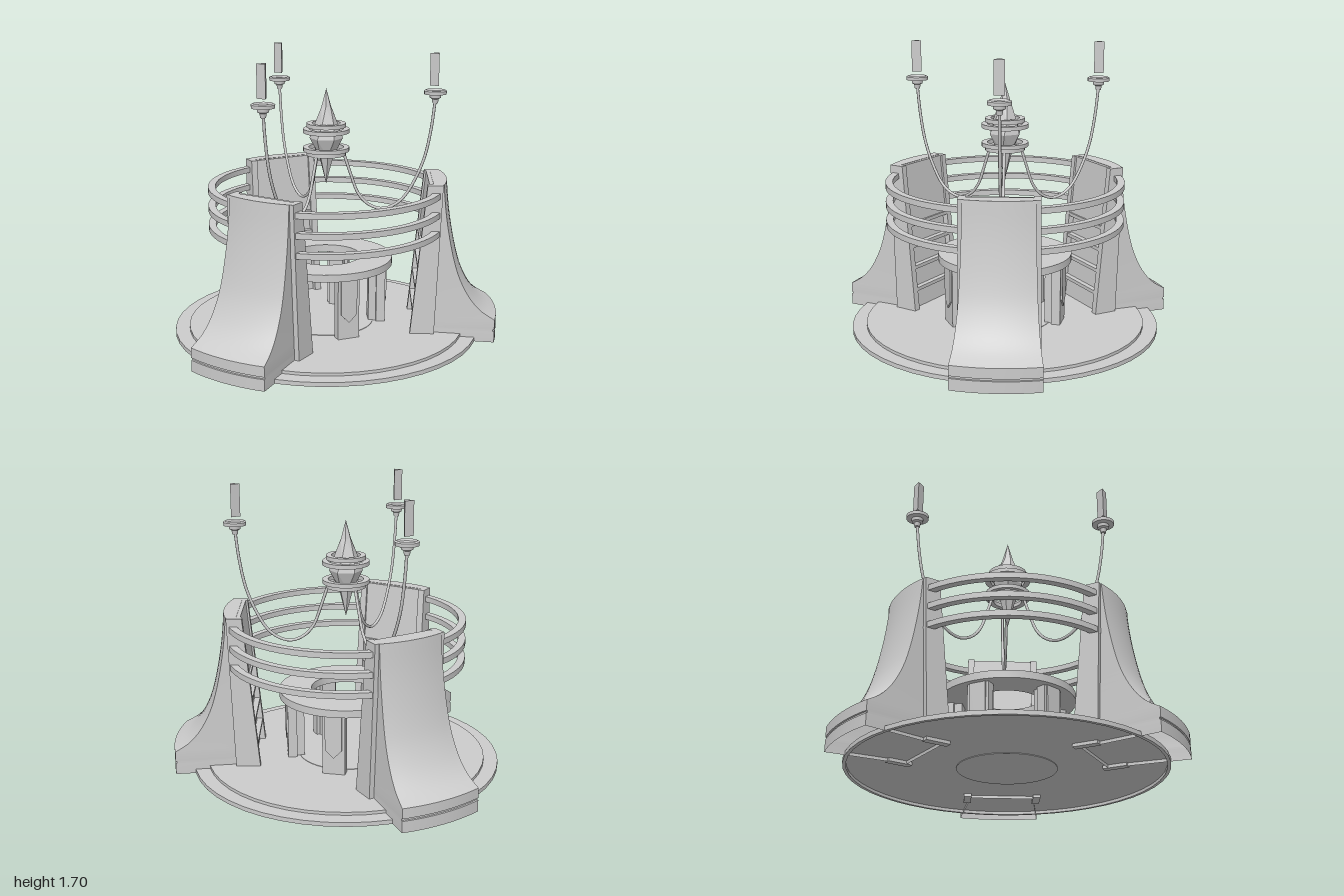
import * as THREE from 'three';
import { toCreasedNormals } from 'three/addons/utils/BufferGeometryUtils.js';

const grey = new THREE.MeshStandardMaterial({ color: 0xcccccc });
const faceted = new THREE.MeshStandardMaterial({ color: 0xcccccc, flatShading: true });
const shell = new THREE.MeshStandardMaterial({ color: 0xcccccc, side: THREE.DoubleSide });

function add(parent, name, geometry, material = grey) {
  const mesh = new THREE.Mesh(geometry, material);
  mesh.name = name;
  parent.add(mesh);
  return mesh;
}

// Solid of revolution with crisp edges
function turned(points, segments = 48) {
  const lathe = new THREE.LatheGeometry(points.map(p => new THREE.Vector2(...p)), segments);
  return toCreasedNormals(lathe, 0.5);
}

// Square-section hoop
function hoop(inner, outer, y0, y1, segments = 48) {
  return turned([[inner, y0], [outer, y0], [outer, y1], [inner, y1], [inner, y0]], segments);
}

// Skin over stacked, counter-clockwise rings of [x, y, z]; the bottom may stay open
function loft(rings, openBottom = false) {
  const n = rings[0].length, index = [];
  for (let r = 0; r < rings.length - 1; r++) {
    for (let i = 0; i < n; i++) {
      const a = r * n + i, b = r * n + (i + 1) % n;
      index.push(a, b, b + n, a, b + n, a + n);
    }
  }
  const top = (rings.length - 1) * n;
  for (let i = 1; i < n - 1; i++) {
    index.push(top, top + i, top + i + 1);
    if (!openBottom) index.push(0, i + 1, i);
  }
  const g = new THREE.BufferGeometry();
  g.setAttribute('position', new THREE.Float32BufferAttribute(rings.flat(2), 3));
  g.setIndex(index);
  return toCreasedNormals(g, 0.5);
}

const boxRing = (x0, x1, y, z0, z1) => [[x0, y, z1], [x1, y, z1], [x1, y, z0], [x0, y, z0]];

// Inner leaning face of a pillar
const innerZ = y => 0.508 + 0.097 * y;

// Horizontal section of a pillar: curved outside, flat inside, wider towards the outside
function pillarRing(y, outer) {
  const half = 0.195 + 0.055 * (outer - 0.69) / 0.355;
  const ring = [], a = Math.asin(half / outer), steps = 10;
  for (let i = 0; i <= steps; i++) {
    const t = -a + 2 * a * i / steps;
    ring.push([outer * Math.sin(t), y, outer * Math.cos(t)]);
  }
  ring.push([0.19, y, innerZ(y) + 0.035], [-0.19, y, innerZ(y) + 0.035]);
  return ring;
}

function makePillar() {
  const pillar = new THREE.Group();
  pillar.name = 'pillar';

  // Hollow shell: grooved plinth, then the flared body
  const plinth = [[1.045, 0], [1.045, 0.068], [1.037, 0.07], [1.037, 0.08], [1.045, 0.082], [1.045, 0.142]];
  const flare = new THREE.SplineCurve([[1.04, 0.144], [0.96, 0.195], [0.89, 0.275], [0.83, 0.39],
    [0.79, 0.52], [0.757, 0.68], [0.737, 0.82], [0.725, 0.955]].map(p => new THREE.Vector2(...p)));
  const profile = [...plinth, ...flare.getPoints(24).map(p => [p.x, p.y])];
  add(pillar, 'pillarBody', loft(profile.map(([r, y]) => pillarRing(y, r)), true), shell);

  // Side rails of the inner face
  for (const s of [-1, 1]) {
    const [b0, b1, t0, t1] = s > 0 ? [0.19, 0.235, 0.185, 0.225] : [-0.235, -0.19, -0.225, -0.185];
    add(pillar, 'sideRail', loft([boxRing(b0, b1, 0, innerZ(0), 0.655),
      boxRing(t0, t1, 0.955, innerZ(0.955), 0.692)]));
  }

  // Upper panel and rungs between the rails
  add(pillar, 'upperPanel', loft([0.585, 0.953].map(y =>
    boxRing(-0.2, 0.2, y, innerZ(y) + 0.012, innerZ(y) + 0.06))));
  for (const y of [0.17, 0.31, 0.445, 0.58]) {
    add(pillar, 'rung', new THREE.BoxGeometry(0.4, 0.022, 0.04))
      .position.set(0, y, innerZ(y) + 0.022);
  }
  return pillar;
}

function makeLamp() {
  const lamp = new THREE.Group();
  lamp.name = 'lamp';
  add(lamp, 'lampDish', turned([[0, 1.405], [0.016, 1.405], [0.02, 1.43], [0.033, 1.437], [0.035, 1.457],
    [0.066, 1.459], [0.067, 1.479], [0.055, 1.485], [0.05, 1.473], [0, 1.473]], 24));
  // Floating three-sided light
  const prism = add(lamp, 'lampPrism', new THREE.CylinderGeometry(0.034, 0.034, 0.19, 3), faceted);
  prism.position.y = 1.605;
  prism.rotation.y = Math.PI;
  return lamp;
}

function makeCable() {
  const path = [[0.645, 1.42], [0.625, 1.25], [0.59, 1.08], [0.535, 0.94], [0.465, 0.825], [0.40, 0.775],
    [0.33, 0.758], [0.255, 0.785], [0.195, 0.85], [0.145, 0.98], [0.105, 1.1]];
  const curve = new THREE.CatmullRomCurve3(path.map(([r, y]) => new THREE.Vector3(0, y, r)));
  return new THREE.TubeGeometry(curve, 48, 0.009, 8);
}

function makeTableLeg() {
  const leg = new THREE.Group();
  leg.name = 'tableLeg';
  add(leg, 'legSlab', new THREE.BoxGeometry(0.135, 0.385, 0.055)).position.set(0, 0.2325, 0.333);
  add(leg, 'legRib', new THREE.BoxGeometry(0.09, 0.385, 0.05)).position.set(0, 0.2325, 0.285);
  // Pointed strip on the outer face
  const s = new THREE.Shape();
  s.moveTo(0, 0.145);
  s.lineTo(0.05, 0.195);
  s.lineTo(0.05, 0.42);
  s.lineTo(-0.05, 0.42);
  s.lineTo(-0.05, 0.195);
  add(leg, 'legStrip', new THREE.ExtrudeGeometry(s, { depth: 0.012, bevelEnabled: false }))
    .position.z = 0.358;
  return leg;
}

// Spindle crystal twisted along its height
function makeCrystal() {
  const profile = [[0, 0.91], [0.045, 1.08], [0.1, 1.19], [0.073, 1.27], [0.032, 1.38], [0, 1.49]];
  const g = new THREE.LatheGeometry(profile.map(p => new THREE.Vector2(...p)), 6);
  const p = g.attributes.position, v = new THREE.Vector3(), up = new THREE.Vector3(0, 1, 0);
  for (let i = 0; i < p.count; i++) {
    v.fromBufferAttribute(p, i);
    v.applyAxisAngle(up, (v.y - 1.19) * 2.5);
    p.setXYZ(i, v.x, v.y, v.z);
  }
  return g;
}

export function createModel() {
  const model = new THREE.Group();
  model.name = 'ringedConsoleRoom';
  const hub = new THREE.Group();
  hub.name = 'hub';
  hub.position.z = -0.06;
  model.add(hub);

  // Stepped floor, recessed underneath, with a central disc
  add(hub, 'floor', turned([[0, 0.014], [0.29, 0.014], [0.29, 0.018], [0.91, 0.018], [0.91, 0], [0.93, 0],
    [0.93, 0.025], [0.845, 0.025], [0.845, 0.043], [0.29, 0.043], [0.29, 0.046], [0, 0.046]], 48));

  // Three pillars, each with its lamp and hanging cable
  for (let i = 0; i < 3; i++) {
    const angle = i * Math.PI * 2 / 3;
    const pillar = makePillar();
    pillar.rotation.y = angle;
    hub.add(pillar);
    add(hub, 'cable', makeCable()).rotation.y = angle;
    const lamp = makeLamp();
    lamp.position.set(0.645 * Math.sin(angle), 0, 0.645 * Math.cos(angle));
    hub.add(lamp);
  }

  // Hoops running round through the pillars
  for (const y of [0.663, 0.777, 0.892]) add(hub, 'hoop', hoop(0.668, 0.712, y - 0.017, y + 0.017, 64));

  // Round console table on five legs
  add(hub, 'tableTop', hoop(0.21, 0.405, 0.415, 0.46));
  for (let i = 0; i < 5; i++) {
    const leg = makeTableLeg();
    leg.rotation.y = THREE.MathUtils.degToRad(54 + 72 * i);
    hub.add(leg);
  }

  // Hanging crystal and its collars
  add(hub, 'crystal', makeCrystal(), faceted);
  for (const [inner, outer, y] of [[0.085, 0.118, 1.27], [0.105, 0.139, 1.236],
    [0.105, 0.139, 1.125], [0.085, 0.118, 1.1]]) {
    add(hub, 'crystalCollar', hoop(inner, outer, y - 0.012, y + 0.012, 32));
  }
  return model;
}
